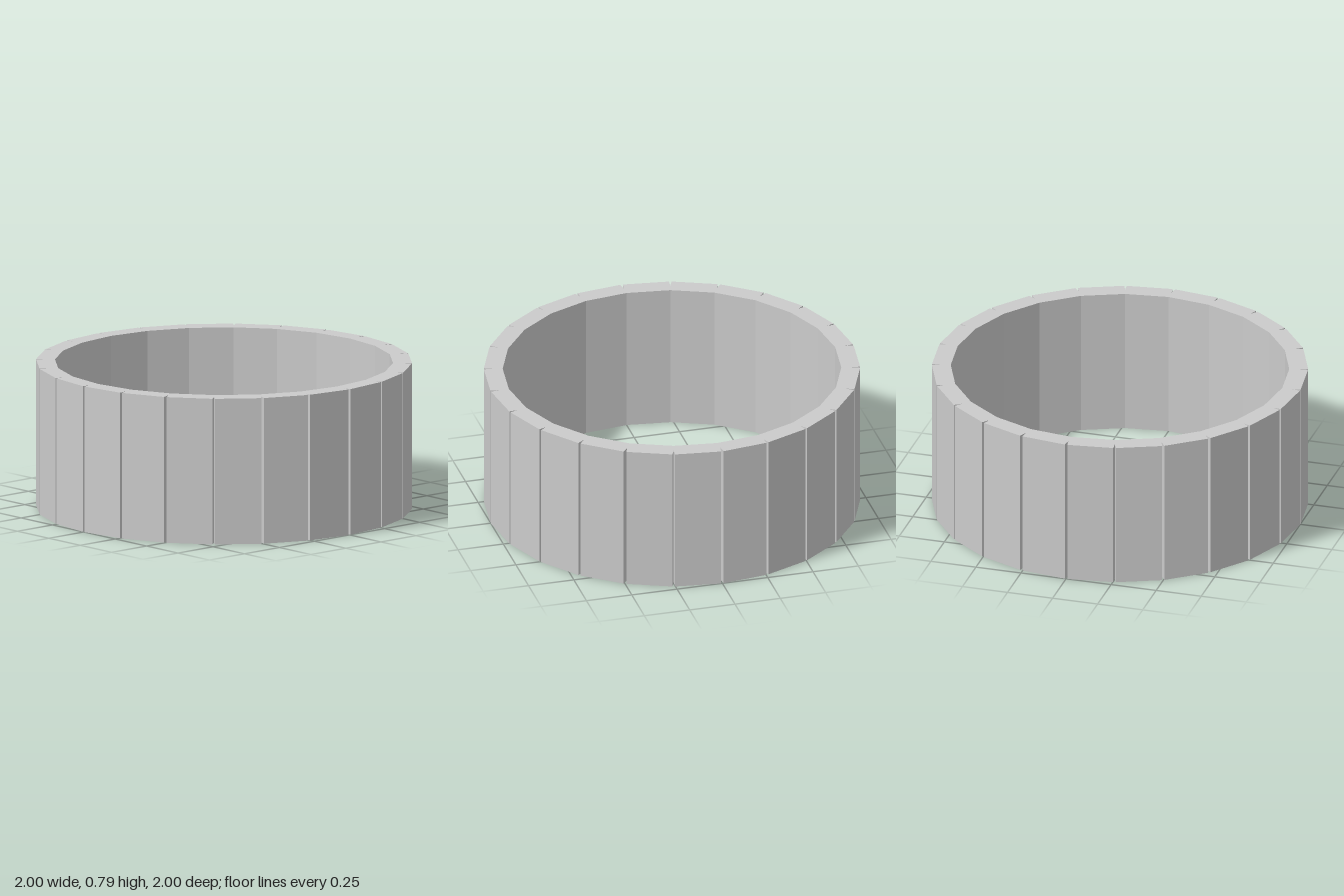
import * as THREE from 'three';

const SIDES = 24;
const HEIGHT = 0.79;
const OUTER = 1;
const INNER = 0.9;
const GROOVE_DEPTH = 0.045;
const GROOVE_HALF_ANGLE = 0.007;

const polar = (radius, angle) =>
  new THREE.Vector2(radius * Math.cos(angle), radius * Math.sin(angle));

export function createModel() {
  const group = new THREE.Group();
  group.name = 'facetedRing';

  // Ring outline with a narrow V groove at every corner, and its faceted bore
  const outer = [];
  const inner = [];
  for (let i = 0; i < SIDES; i++) {
    const a = (i / SIDES) * Math.PI * 2;
    outer.push(
      polar(OUTER, a - GROOVE_HALF_ANGLE),
      polar(OUTER - GROOVE_DEPTH, a),
      polar(OUTER, a + GROOVE_HALF_ANGLE),
    );
    inner.push(polar(INNER, a));
  }
  const outline = new THREE.Shape(outer);
  outline.holes.push(new THREE.Path(inner));

  // Extrude the outline upward
  const geometry = new THREE.ExtrudeGeometry(outline, { depth: HEIGHT, bevelEnabled: false });
  geometry.rotateX(-Math.PI / 2);

  const material = new THREE.MeshStandardMaterial({ color: 0xcccccc, flatShading: true });
  const ring = new THREE.Mesh(geometry, material);
  ring.name = 'groovedRing';
  group.add(ring);
  return group;
}
